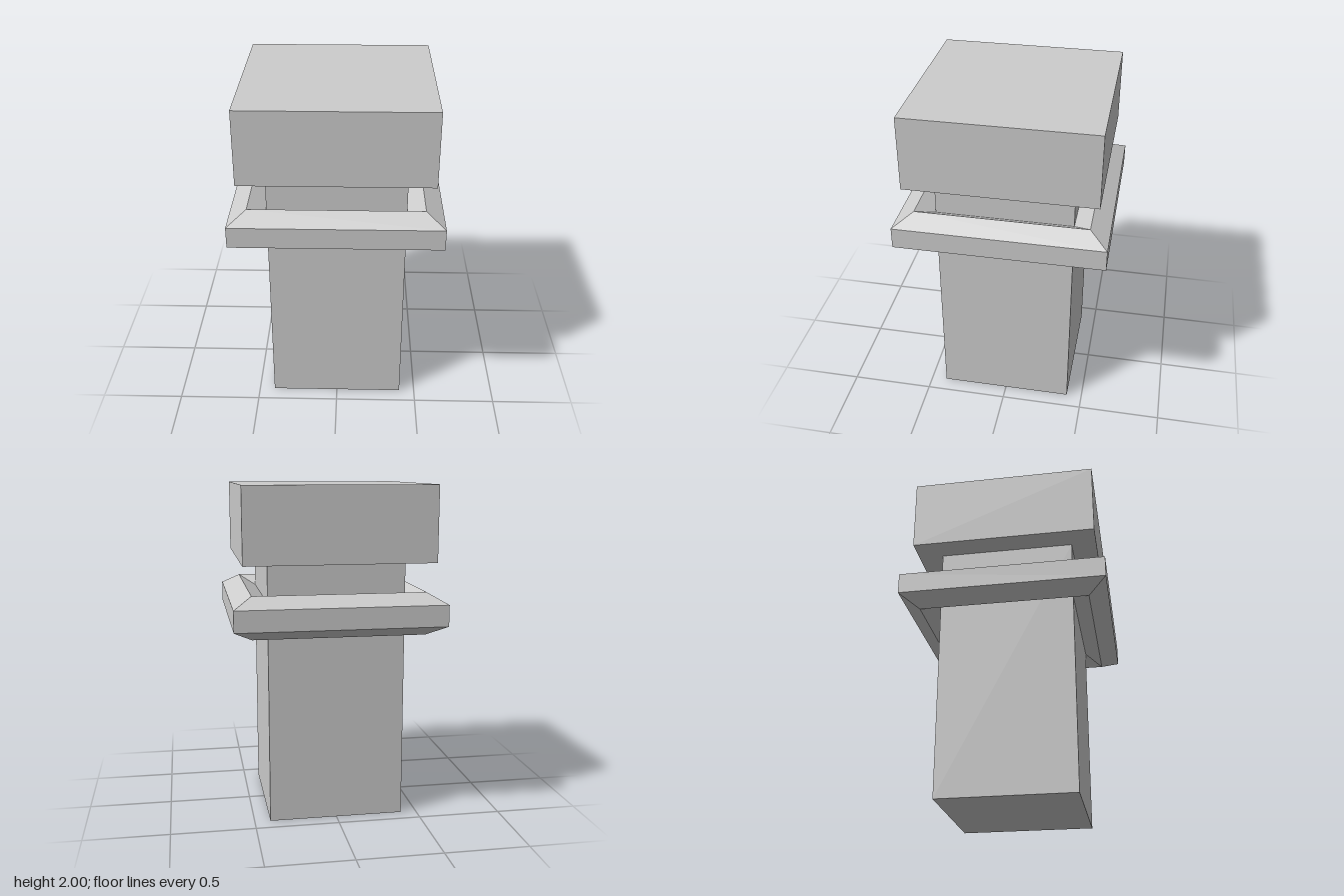
import * as THREE from 'three';

export function createModel() {
  const group = new THREE.Group();
  const stone = new THREE.MeshStandardMaterial({ color: 0xcccccc });
  stone.name = 'paleGrey';

  const add = (name, geometry) => {
    const mesh = new THREE.Mesh(geometry, stone);
    mesh.name = name;
    group.add(mesh);
  };

  // Square block centred on the axis, between two heights
  const block = (name, width, bottom, top) =>
    add(name, new THREE.BoxGeometry(width, top - bottom, width).translate(0, (bottom + top) / 2, 0));

  block('shaft', 0.81, 0, 1.56);
  block('headBlock', 1.11, 1.56, 2);

  // Square collar with a hexagonal section, swept around the shaft
  const mid = 0.505, y = 1.263, r = 0.125;
  const section = [];
  for (let i = 0; i <= 6; i++) {
    const a = -Math.PI / 2 + (i * Math.PI) / 3;
    section.push(new THREE.Vector2((mid + r * Math.cos(a)) * Math.SQRT2, y + r * Math.sin(a)));
  }
  const collar = new THREE.LatheGeometry(section, 4, Math.PI / 4).toNonIndexed();
  collar.computeVertexNormals();
  add('collar', collar);

  return group;
}
